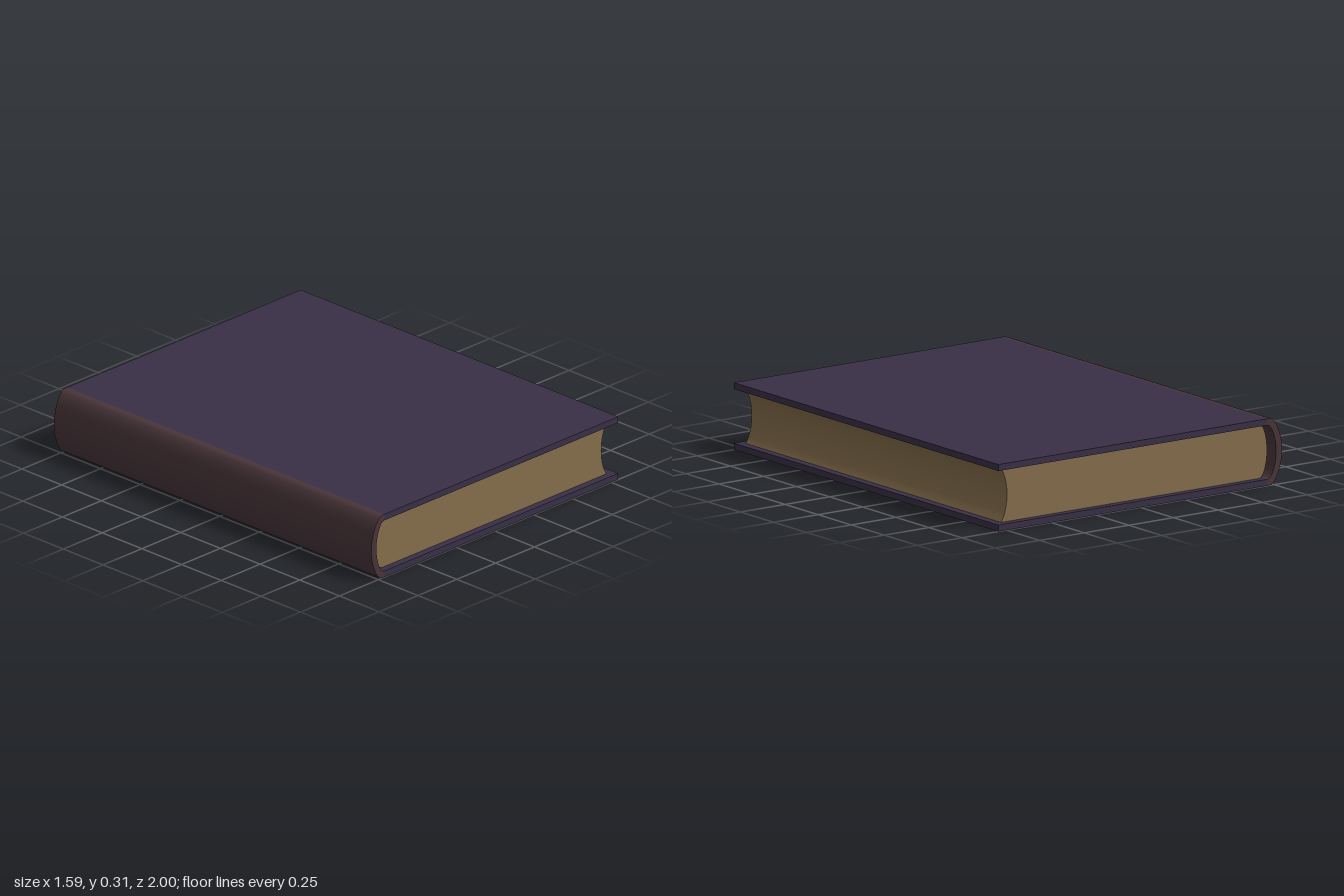
import * as THREE from 'three';
import { toCreasedNormals } from 'three/addons/utils/BufferGeometryUtils.js';

const HEIGHT = 0.31, BOARD = 0.03, MID = HEIGHT / 2;
const HINGE = -0.71, EDGE = 0.795;

const material = (name, color) => {
  const m = new THREE.MeshStandardMaterial({ color });
  m.name = name;
  return m;
};

// Extrudes an xy profile along z, centred, keeping curved sides smooth
function extrude(name, shape, length, mat) {
  const geo = new THREE.ExtrudeGeometry(shape, { depth: length, bevelEnabled: false, curveSegments: 10 });
  geo.translate(0, 0, -length / 2);
  const mesh = new THREE.Mesh(toCreasedNormals(geo, 0.6), mat);
  mesh.name = name;
  return mesh;
}

export function createModel() {
  const cover = material('dark violet cover', 0x392f46);
  const leather = material('brown spine', 0x49353a);
  const paper = material('aged paper', 0x866f4c);

  const book = new THREE.Group();
  book.name = 'book';

  // Front and back boards
  for (const [name, y] of [['backBoard', BOARD / 2], ['frontBoard', HEIGHT - BOARD / 2]]) {
    const board = new THREE.Mesh(new THREE.BoxGeometry(EDGE - HINGE, BOARD, 2), cover);
    board.name = name;
    board.position.set((EDGE + HINGE) / 2, y, 0);
    book.add(board);
  }

  // Rounded spine, a hollow strip joining the boards
  const spine = new THREE.Shape();
  spine.moveTo(HINGE, HEIGHT);
  spine.lineTo(-0.725, HEIGHT);
  spine.bezierCurveTo(-0.76, HEIGHT, -0.795, 0.22, -0.795, MID);
  spine.bezierCurveTo(-0.795, 0.09, -0.76, 0, -0.725, 0);
  spine.lineTo(HINGE, 0);
  spine.lineTo(HINGE, BOARD);
  spine.bezierCurveTo(-0.74, BOARD, -0.762, 0.1, -0.762, MID);
  spine.bezierCurveTo(-0.762, 0.21, -0.74, HEIGHT - BOARD, HINGE, HEIGHT - BOARD);
  book.add(extrude('spine', spine, 2, leather));

  // Page block, rounded at the spine and hollowed at the fore edge
  const pages = new THREE.Shape();
  pages.moveTo(-0.69, BOARD);
  pages.lineTo(0.755, BOARD);
  pages.bezierCurveTo(0.71, 0.09, 0.71, HEIGHT - 0.09, 0.755, HEIGHT - BOARD);
  pages.lineTo(-0.69, HEIGHT - BOARD);
  pages.bezierCurveTo(-0.72, HEIGHT - BOARD, -0.736, 0.21, -0.736, MID);
  pages.bezierCurveTo(-0.736, 0.1, -0.72, BOARD, -0.69, BOARD);
  book.add(extrude('pages', pages, 1.93, paper));

  return book;
}
